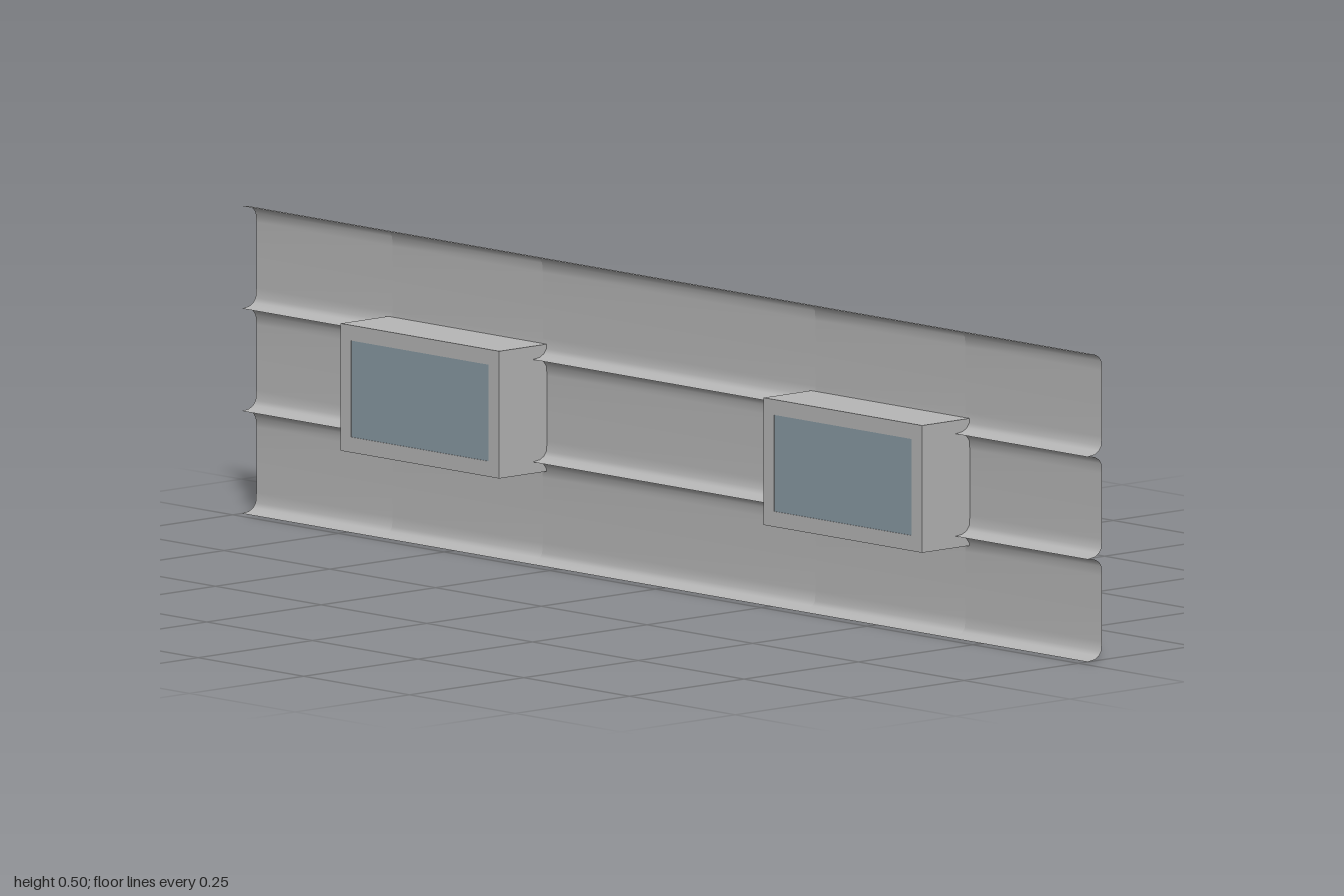
import * as THREE from 'three';

const steel = new THREE.MeshStandardMaterial({ name: 'steel', color: 0xb6b6b6 });
const sheetSteel = new THREE.MeshStandardMaterial({ name: 'sheetSteel', color: 0xb6b6b6, side: THREE.DoubleSide });
const glass = new THREE.MeshStandardMaterial({ name: 'glass', color: 0x8899a3 });
const black = new THREE.MeshStandardMaterial({ name: 'barBlack', color: 0x141414 });

const BAND = 0.5 / 3;
const WINDOW_X = [-0.5, 0.5];
const WIN = { w: 0.375, h: 0.207, y: 0.2515, d: 0.106, rim: 0.025 };

// One wall band in section, [y, z]: a nearly flat sheet curled forward at both edges
const SECTION = [
  [0, -0.02], [0.002, -0.036], [0.007, -0.045], [0.014, -0.05], [0.03, -0.0515], [BAND / 2, -0.0515],
  [BAND - 0.03, -0.0515], [BAND - 0.014, -0.05], [BAND - 0.007, -0.045], [BAND - 0.002, -0.036], [BAND, -0.02],
];

// Sweeps a section along x from x0 to x1
function sheet(section, x0, x1) {
  const pos = [], index = [];
  section.forEach(([y, z], i) => {
    pos.push(x0, y, z, x1, y, z);
    if (i) {
      const a = 2 * i - 2;
      index.push(a, a + 1, a + 3, a, a + 3, a + 2);
    }
  });
  const geo = new THREE.BufferGeometry();
  geo.setAttribute('position', new THREE.Float32BufferAttribute(pos, 3));
  geo.setIndex(index);
  geo.computeVertexNormals();
  return geo;
}

function createWall() {
  const wall = new THREE.Group();
  wall.name = 'wall';
  const half = WIN.w / 2 - 0.01;
  const cuts = [-1, ...WINDOW_X.flatMap((x) => [x - half, x + half]), 1];
  for (let band = 0; band < 3; band++) {
    const full = SECTION.map(([y, z]) => [y + band * BAND, z]);
    for (let i = 0; i < cuts.length - 1; i++) {
      // Odd spans lie behind a window, so the sheet stops at its rim
      const part = i % 2 ? full.filter(([y]) => y < 0.155 || y > 0.345) : full;
      if (part.length < 2) continue;
      const mesh = new THREE.Mesh(sheet(part, cuts[i], cuts[i + 1]), sheetSteel);
      mesh.name = 'wallBand';
      wall.add(mesh);
    }
  }
  return wall;
}

function rectangle(PathType, w, h) {
  const p = new PathType();
  p.moveTo(-w / 2, -h / 2).lineTo(w / 2, -h / 2).lineTo(w / 2, h / 2).lineTo(-w / 2, h / 2).closePath();
  return p;
}

function createWindow() {
  const group = new THREE.Group();
  group.name = 'window';
  const innerW = WIN.w - 2 * WIN.rim, innerH = WIN.h - 2 * WIN.rim;
  const add = (geo, mat, name, x = 0, z = 0) => {
    const mesh = new THREE.Mesh(geo, mat);
    mesh.name = name;
    mesh.position.set(x, 0, z);
    group.add(mesh);
  };

  // Deep box frame, open at the back
  const outline = rectangle(THREE.Shape, WIN.w, WIN.h);
  outline.holes.push(rectangle(THREE.Path, innerW, innerH));
  add(new THREE.ExtrudeGeometry(outline, { depth: WIN.d, bevelEnabled: false }), steel, 'windowFrame', 0, -WIN.d / 2);

  // Pane near the front face
  add(new THREE.BoxGeometry(innerW, innerH, 0.004), glass, 'windowPane', 0, WIN.d / 2 - 0.003);

  // Seven upright bars inside the frame
  const bar = new THREE.CylinderGeometry(0.006, 0.006, innerH, 8);
  for (let i = 1; i <= 7; i++) add(bar, black, 'windowBar', -innerW / 2 + (innerW * i) / 8, -0.008);
  return group;
}

export function createModel() {
  const model = new THREE.Group();
  model.name = 'wallSection';
  model.add(createWall());
  for (const x of WINDOW_X) {
    const win = createWindow();
    win.position.set(x, WIN.y, 0);
    model.add(win);
  }
  return model;
}
